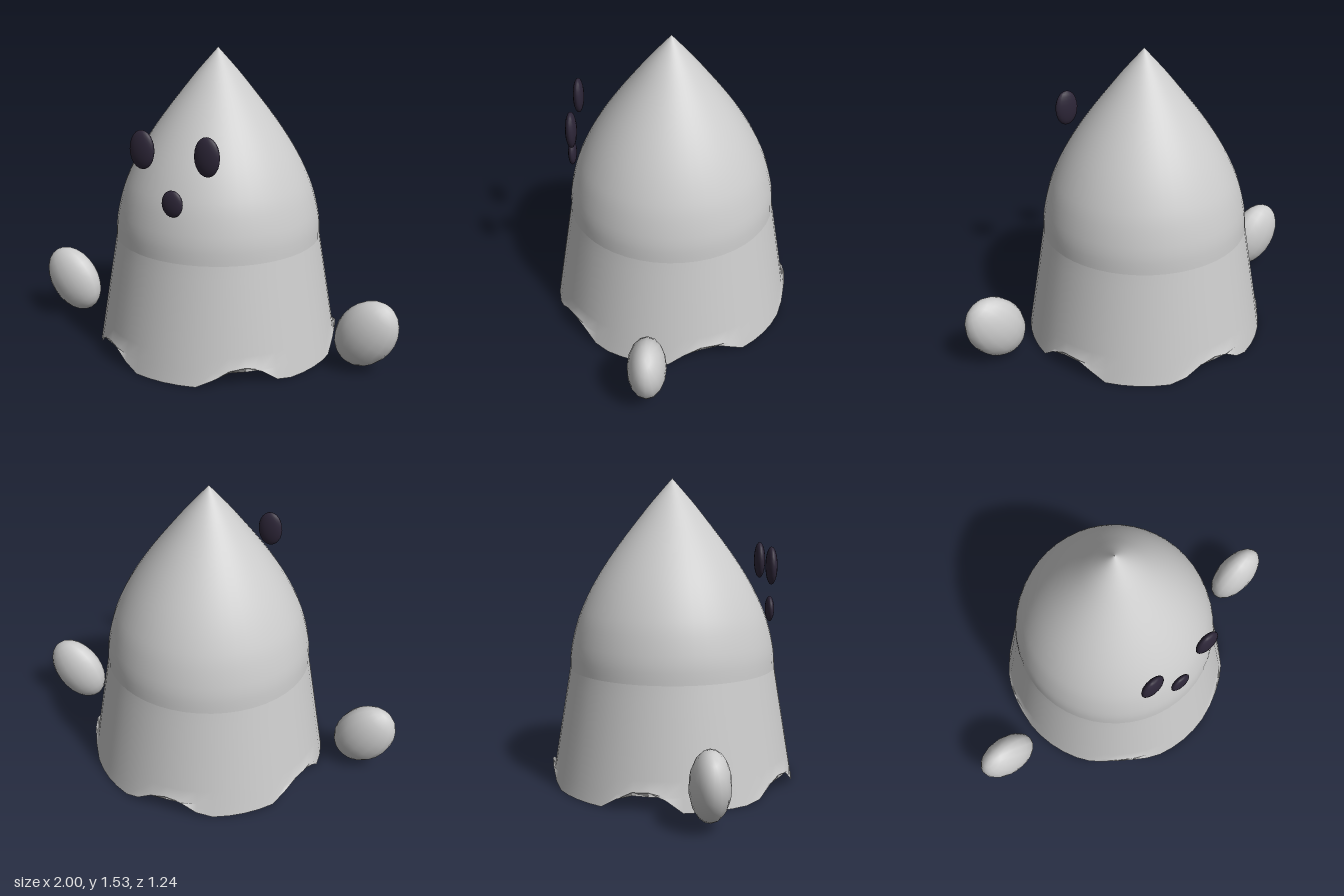
import * as THREE from 'three';
import { mergeVertices } from 'three/addons/utils/BufferGeometryUtils.js';

const SEGMENTS = 48;
const KNEE = 0.58; // height where the hood meets the skirt

const cloth = new THREE.MeshStandardMaterial({ color: 0xcccccc, side: THREE.DoubleSide });
const skin = new THREE.MeshStandardMaterial({ color: 0xcccccc });
const dark = new THREE.MeshStandardMaterial({ color: 0x2d2638 });

function ellipsoid(name, material, position, radii, tilt = 0) {
  const mesh = new THREE.Mesh(new THREE.SphereGeometry(1, 16, 12), material);
  mesh.name = name;
  mesh.position.set(...position);
  mesh.scale.set(...radii);
  mesh.rotation.z = tilt;
  return mesh;
}

// Flared open skirt; five scallops are lifted out of the bottom hem
function skirtGeometry() {
  const raw = new THREE.CylinderGeometry(0.523, 0.62, KNEE, SEGMENTS, 8, true);
  raw.translate(0, KNEE / 2, 0);
  raw.deleteAttribute('uv');
  raw.deleteAttribute('normal');
  const geometry = mergeVertices(raw, 1e-4);
  const p = geometry.attributes.position;
  for (let i = 0; i < p.count; i++) {
    if (p.getY(i) > 0.001) continue;
    const angle = Math.atan2(p.getX(i), p.getZ(i));
    p.setY(i, 0.1 * Math.max(0, -Math.cos(5 * angle)));
  }
  geometry.computeVertexNormals();
  return geometry;
}

// Pointed hood turned from a smooth profile
function hoodGeometry() {
  const profile = new THREE.SplineCurve([
    [0.523, KNEE], [0.516, 0.68], [0.485, 0.81], [0.446, 0.91], [0.395, 1.01],
    [0.333, 1.11], [0.262, 1.21], [0.185, 1.31], [0.105, 1.41], [0, 1.53],
  ].map(([r, y]) => new THREE.Vector2(r, y)));
  const points = profile.getPoints(28);
  points[points.length - 1].x = 0;
  return new THREE.LatheGeometry(points, SEGMENTS);
}

export function createModel() {
  const group = new THREE.Group();
  group.name = 'ghost';

  const skirt = new THREE.Mesh(skirtGeometry(), cloth);
  skirt.name = 'skirt';
  const hood = new THREE.Mesh(hoodGeometry(), cloth);
  hood.name = 'hood';
  group.add(skirt, hood);

  // Paired eyes and floating hands
  for (const [side, s] of [['left', 1], ['right', -1]]) {
    group.add(
      ellipsoid(side + 'Eye', dark, [s * 0.168, 1.103, 0.478], [0.065, 0.094, 0.028]),
      ellipsoid(side + 'Hand', skin, [s * 0.84, 0.202, 0.095], [0.145, 0.188, 0.095], -s * 0.6),
    );
  }
  group.add(ellipsoid('mouth', dark, [0, 0.866, 0.503], [0.055, 0.065, 0.022]));
  return group;
}
